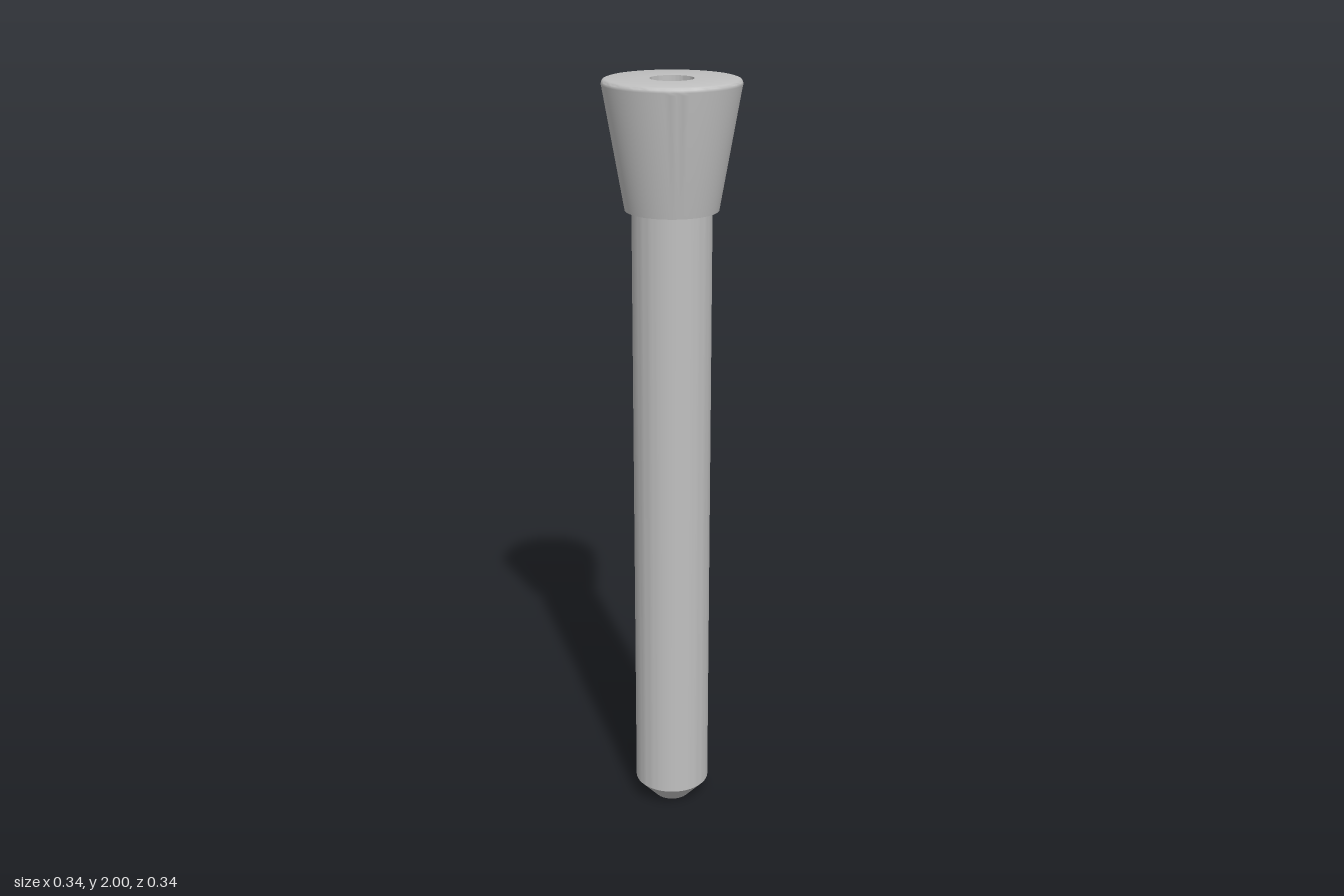
import * as THREE from 'three';
import { toCreasedNormals } from 'three/addons/utils/BufferGeometryUtils.js';

const SHAFT_R = 0.101, TIP_R = 0.05, CHAMFER_H = 0.056, FLAT = 0.065, HEAD_Y = 1.68;

// Round shaft with a chamfered tip and a flat along the back (z = -FLAT)
function shaftGeometry() {
  const N = 64, row = N + 1;
  const radii = [TIP_R, FLAT];
  for (let i = 1; i <= 8; i++) radii.push(FLAT + (SHAFT_R - FLAT) * (i / 8) ** 2);
  const rings = radii.map(r => [r, CHAMFER_H * (r - TIP_R) / (SHAFT_R - TIP_R)]);
  rings.push([SHAFT_R, HEAD_Y]);

  const pos = [], idx = [];
  for (const [r, y] of rings) {
    const a = r > FLAT ? Math.acos(FLAT / r) : 0; // half angle cut away by the flat
    for (let i = 0; i < row; i++) {
      const t = a + (2 * Math.PI - 2 * a) * i / N;
      pos.push(r * Math.sin(t), y, -r * Math.cos(t));
    }
  }
  for (let k = 0; k < rings.length - 1; k++) {
    for (let i = 0; i < row; i++) {
      if (i === N && k === 0) continue; // no flat below its lowest point
      const j = (i + 1) % row;
      const A = k * row + i, B = k * row + j;
      if (!(i === N && k === 1)) idx.push(A, A + row, B);
      idx.push(B, A + row, B + row);
    }
  }
  // Tip face
  const c = pos.length / 3;
  pos.push(0, 0, 0);
  for (let i = 0; i < N; i++) idx.push(c, i, i + 1);

  const g = new THREE.BufferGeometry();
  g.setAttribute('position', new THREE.Float32BufferAttribute(pos, 3));
  g.setIndex(idx);
  return toCreasedNormals(g, 0.45);
}

// Tapered head with a rounded rim and a blind hole in the top
function headGeometry() {
  const profile = [
    [0, HEAD_Y], [0.118, HEAD_Y], [0.171, 1.981], [0.1725, 1.987], [0.1715, 1.993],
    [0.168, 1.998], [0.162, 2], [0.055, 2], [0.055, 1.7], [0, 1.7],
  ].map(p => new THREE.Vector2(...p));
  return toCreasedNormals(new THREE.LatheGeometry(profile, 72), 0.75);
}

export function createModel() {
  const grey = new THREE.MeshStandardMaterial({ color: 0xc0c0c0 });
  grey.name = 'grey';
  const group = new THREE.Group();
  group.name = 'pin';
  const add = (name, geometry) => {
    const mesh = new THREE.Mesh(geometry, grey);
    mesh.name = name;
    group.add(mesh);
  };
  add('shaft', shaftGeometry());
  add('head', headGeometry());
  return group;
}
